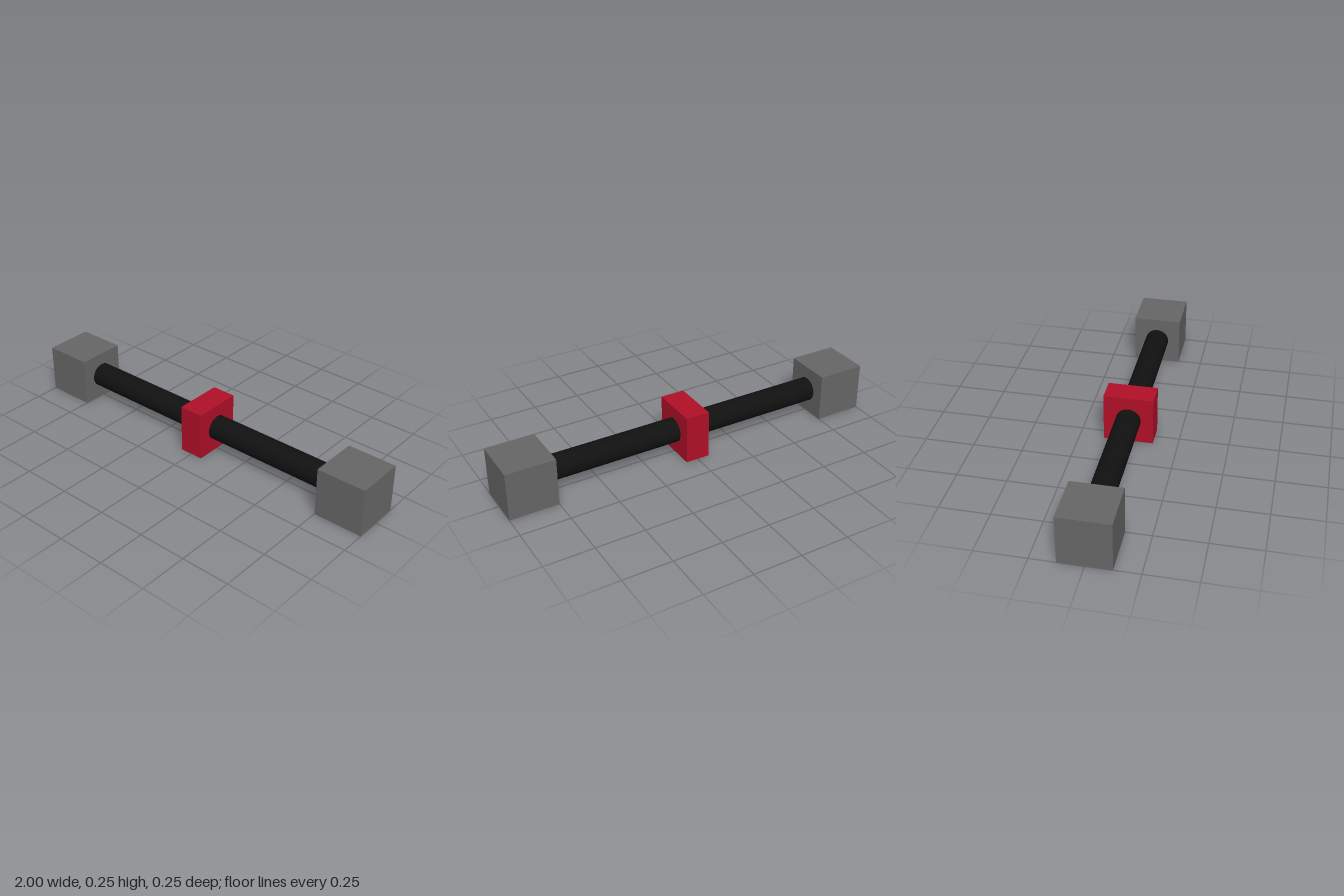
import * as THREE from 'three';

const SIZE = 0.25; // edge of the end cubes
const MID = SIZE / 2; // height of the bar's axis

function addPart(group, name, geometry, color, x) {
  const mesh = new THREE.Mesh(geometry, new THREE.MeshStandardMaterial({ color }));
  mesh.name = name;
  mesh.position.set(x, MID, 0);
  group.add(mesh);
  return mesh;
}

export function createModel() {
  const group = new THREE.Group();
  group.name = 'barWithEndBlocks';

  // Round bar along x, ending inside the cubes
  const bar = addPart(group, 'bar', new THREE.CylinderGeometry(0.0625, 0.0625, 1.52, 32), 0x111111, 0);
  bar.rotation.z = Math.PI / 2;

  // Red block around the middle of the bar
  addPart(group, 'centreBlock', new THREE.BoxGeometry(0.125, SIZE, SIZE), 0xb01028, 0);

  // Grey cube at each end
  for (const [name, side] of [['leftEndBlock', 1], ['rightEndBlock', -1]]) {
    addPart(group, name, new THREE.BoxGeometry(SIZE, SIZE, SIZE), 0x666666, side * (1 - SIZE / 2));
  }

  return group;
}
